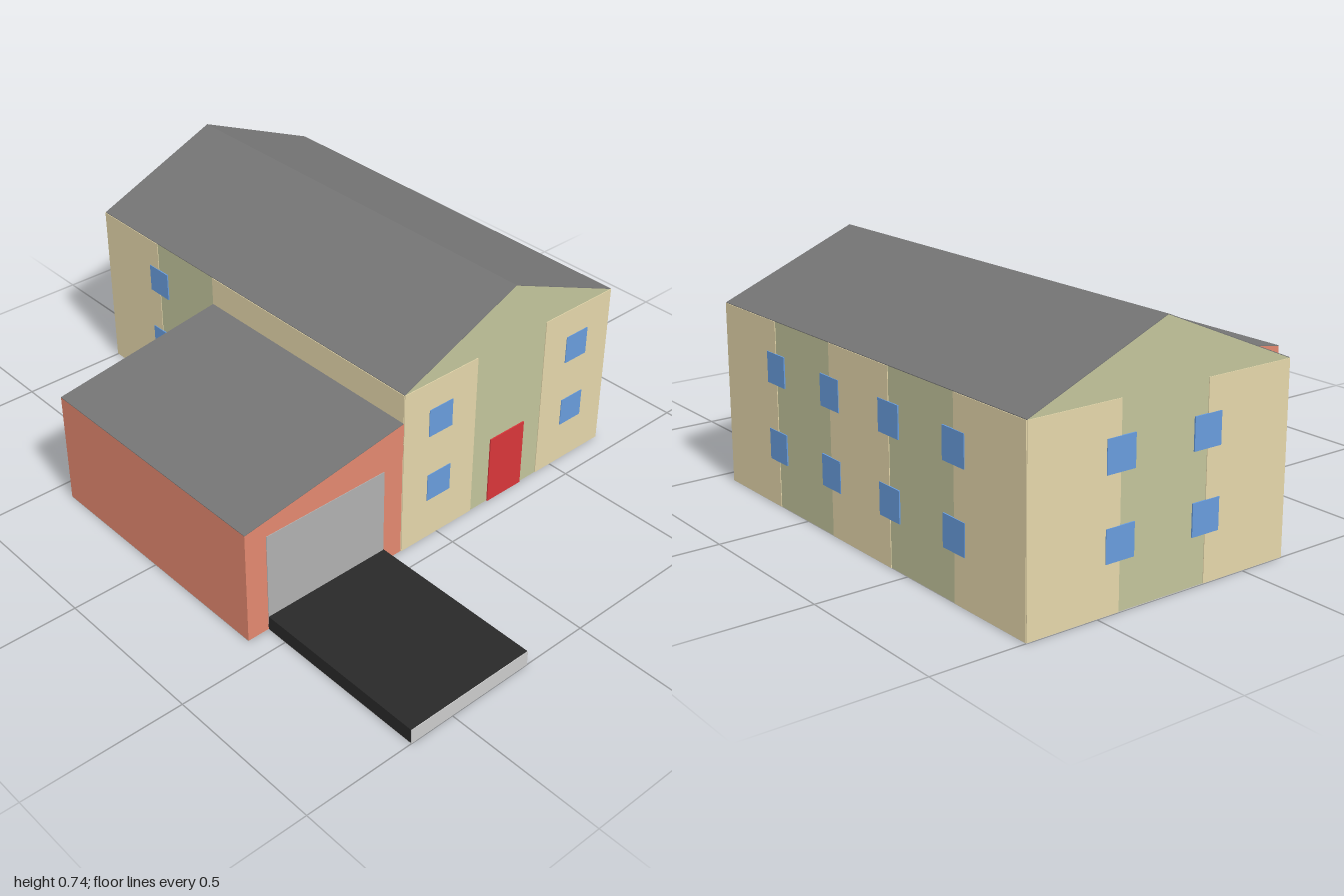
import * as THREE from 'three';

const COLORS = {
  tan: 0xe4d6aa, green: 0xc2c49b, glass: 0x689cdc, door: 0xd8363a,
  brick: 0xe2886f, roof: 0x757575, garageDoor: 0xb0b0b0, asphalt: 0x292929, grey: 0xcccccc,
};
const MATS = Object.fromEntries(Object.entries(COLORS).map(([name, color]) =>
  [name, new THREE.MeshStandardMaterial({ color, flatShading: true })]));

// Main dimensions
const WEST = -1, EAST = 0.43, BACK = -0.72, FRONT = 0.145, RIDGE_Z = -0.2875;
const EAVES = 0.555, RIDGE = 0.737;
const G_WEST = -0.43, G_FRONT = 0.72, G_HIGH = 0.46, G_LOW = 0.37;
const SKIN = 0.002;

export function createModel() {
  const model = new THREE.Group();

  const add = (name, geometry, mat) => {
    const mesh = new THREE.Mesh(geometry, MATS[mat]);
    mesh.name = name;
    model.add(mesh);
    return mesh;
  };

  const box = (name, mat, x0, x1, y0, y1, z0, z1) =>
    add(name, new THREE.BoxGeometry(x1 - x0, y1 - y0, z1 - z0), mat)
      .position.set((x0 + x1) / 2, (y0 + y1) / 2, (z0 + z1) / 2);

  // Extrude a [z, y] outline along x
  const prism = (name, mat, x0, x1, outline) => {
    const shape = new THREE.Shape(outline.map(([z, y]) => new THREE.Vector2(-z, y)));
    const geometry = new THREE.ExtrudeGeometry(shape, { depth: x1 - x0, bevelEnabled: false });
    add(name, geometry.rotateY(Math.PI / 2).translate(x0, 0, 0), mat);
  };

  // Thin panel on a wall facing along x or z, standing `out` proud of it
  const panelX = (name, mat, x, z0, z1, y0, y1, out = SKIN) =>
    box(name, mat, x - out, x + out, y0, y1, z0, z1);
  const panelZ = (name, mat, z, x0, x1, y0, y1, out = SKIN) =>
    box(name, mat, x0, x1, y0, y1, z - out, z + out);

  // Two storeys of windows centred at one place along a wall
  const windows = (panel, plane, at) => {
    for (const y of [0.185, 0.415]) {
      panel('window', 'glass', plane, at - 0.046, at + 0.046, y - 0.046, y + 0.046, SKIN * 2);
    }
  };

  // House body and gabled roof
  prism('houseBody', 'green', WEST, EAST, [
    [BACK, SKIN], [FRONT, SKIN], [FRONT, EAVES], [RIDGE_Z, RIDGE], [BACK, EAVES]]);
  prism('houseRoof', 'roof', WEST, EAST, [
    [BACK, EAVES], [RIDGE_Z, RIDGE], [FRONT, EAVES],
    [FRONT, EAVES + SKIN], [RIDGE_Z, RIDGE + SKIN], [BACK, EAVES + SKIN]]);
  box('houseFloor', 'grey', WEST, EAST, 0, SKIN, BACK, FRONT);

  // Back wall: five alternating bands with windows on the joints
  const bay = (EAST - WEST) / 5;
  for (let i = 0; i < 5; i += 2) {
    panelZ('backWallPanel', 'tan', BACK, WEST + i * bay, WEST + (i + 1) * bay, SKIN, EAVES);
  }
  for (let i = 1; i < 5; i++) windows(panelZ, BACK, WEST + i * bay);

  // Front wall
  panelZ('frontWallPanel', 'tan', FRONT, WEST, WEST + bay, SKIN, EAVES);
  panelZ('frontWallPanel', 'tan', FRONT, G_WEST, EAST, SKIN, EAVES);
  windows(panelZ, FRONT, WEST + bay);

  // Gable ends: tan outer thirds
  const third = (FRONT - BACK) / 3;
  for (const x of [WEST, EAST]) {
    panelX('gablePanel', 'tan', x, BACK, BACK + third, SKIN, EAVES);
    panelX('gablePanel', 'tan', x, FRONT - third, FRONT, SKIN, EAVES);
  }
  windows(panelX, WEST, BACK + third);
  windows(panelX, WEST, FRONT - third);
  windows(panelX, EAST, BACK + third / 2);
  windows(panelX, EAST, FRONT - third / 2);
  panelX('frontDoor', 'door', EAST, RIDGE_Z - 0.072, RIDGE_Z + 0.072, SKIN, 0.232, SKIN * 2);

  // Garage with a lean-to roof
  prism('garageBody', 'brick', G_WEST, EAST, [
    [FRONT, SKIN], [G_FRONT, SKIN], [G_FRONT, G_LOW], [FRONT, G_HIGH]]);
  prism('garageRoof', 'roof', G_WEST, EAST, [
    [FRONT, G_HIGH], [G_FRONT, G_LOW], [G_FRONT, G_LOW + SKIN], [FRONT, G_HIGH + SKIN]]);
  box('garageFloor', 'grey', G_WEST, EAST, 0, SKIN, FRONT, G_FRONT);
  panelX('garageDoor', 'garageDoor', EAST, 0.218, 0.648, SKIN, 0.33);

  // Driveway: dark slab with a plain end and underside
  box('driveway', 'asphalt', EAST, 1 - SKIN, SKIN, 0.048, 0.216, 0.648);
  box('drivewayEnd', 'grey', 1 - SKIN, 1, 0, 0.048, 0.216, 0.648);
  box('drivewayUnderside', 'grey', EAST, 1 - SKIN, 0, SKIN, 0.216, 0.648);

  return model;
}
